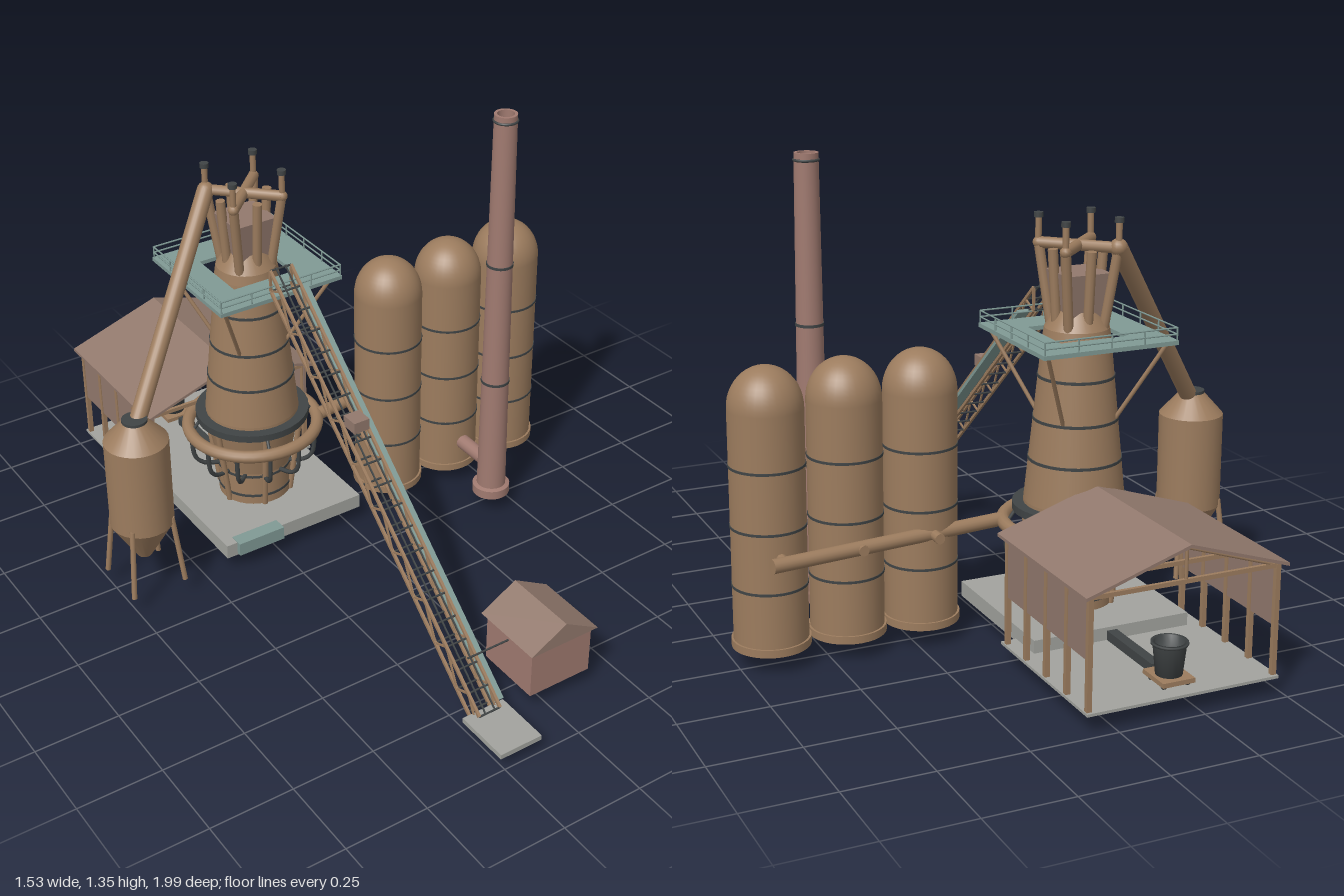
import * as THREE from 'three';

const mat = (color, side = THREE.FrontSide) =>
  new THREE.MeshStandardMaterial({ color, side, roughness: 0.85 });
const RUST = mat(0x9c7c5e), RUST2 = mat(0x9c7c5e, THREE.DoubleSide), DARK = mat(0x404445);
const TEAL = mat(0x809a95), STONE = mat(0xa2a39e), BRICK = mat(0xa07a70), SHED = mat(0x92796d, THREE.DoubleSide);
const V = (x, y, z) => new THREE.Vector3(x, y, z);
const FX = -0.197, FZ = -0.366, GROUND = 0.06; // furnace axis and ground level

export function createModel() {
  const root = new THREE.Group();
  let part = root;
  const group = (name, x = 0, y = 0, z = 0) => {
    part = new THREE.Group();
    part.name = name;
    part.position.set(x, y, z);
    root.add(part);
  };
  const add = (name, geo, m, x = 0, y = 0, z = 0) => {
    const mesh = new THREE.Mesh(geo, m);
    mesh.name = name;
    mesh.position.set(x, y, z);
    part.add(mesh);
    return mesh;
  };
  const box = (name, m, x0, x1, y0, y1, z0, z1) => add(name,
    new THREE.BoxGeometry(x1 - x0, y1 - y0, z1 - z0), m, (x0 + x1) / 2, (y0 + y1) / 2, (z0 + z1) / 2);
  const rod = (name, m, a, b, r, r2 = r, seg = 10) => {
    const mesh = add(name, new THREE.CylinderGeometry(r2, r, a.distanceTo(b), seg), m);
    mesh.position.copy(a).lerp(b, 0.5);
    mesh.quaternion.setFromUnitVectors(V(0, 1, 0), b.clone().sub(a).normalize());
    return mesh;
  };
  // square-section beam between two points lying in a plane of constant x
  const beam = (name, m, a, b, w, h) => {
    const mesh = add(name, new THREE.BoxGeometry(w, h, a.distanceTo(b)), m);
    mesh.position.copy(a).lerp(b, 0.5);
    mesh.lookAt(b);
    return mesh;
  };
  // lathe built from straight profile runs, so the edges stay sharp
  const turned = (name, m, pts, seg = 32) => pts.slice(1).forEach((p, i) => add(name,
    new THREE.LatheGeometry([pts[i], p].map(q => new THREE.Vector2(...q)), seg), m));
  const band = (r, y, x = 0, z = 0, h = 0.008) =>
    add('band', new THREE.CylinderGeometry(r, r, h, 32), DARK, x, y, z);
  const prism = (name, m, pts, z0, z1) => add(name, new THREE.ExtrudeGeometry(
    new THREE.Shape(pts.map(p => new THREE.Vector2(...p))), { depth: z1 - z0, bevelEnabled: false }), m, 0, 0, z0);
  const corners = [[-1, -1], [1, -1], [1, 1], [-1, 1]];

  // Foundations
  group('foundations');
  box('furnaceSlab', STONE, -0.435, 0.04, 0.055, 0.1, -0.6, -0.13);
  box('frontStep', TEAL, -0.4, -0.245, 0.06, 0.102, -0.16, -0.115);
  box('skipPitSlab', STONE, -0.265, -0.13, 0.048, 0.063, 0.83, 1);

  // Blast furnace
  group('furnace', FX, 0, FZ);
  turned('furnaceBody', RUST2, [[0, 0.1], [0.112, 0.1], [0.112, 0.21], [0.142, 0.36], [0.142, 0.4],
    [0.095, 0.86], [0.09, 0.89], [0.058, 0.94], [0, 0.94]]);
  for (const [y, r] of [[0.13, 0.114], [0.2, 0.114], [0.52, 0.132], [0.635, 0.12], [0.755, 0.108]]) band(r, y);
  band(0.173, 0.38, 0, 0, 0.022);
  const bustle = add('bustlePipe', new THREE.TorusGeometry(0.198, 0.019, 12, 48), RUST, 0, 0.335, 0);
  bustle.rotation.x = Math.PI / 2;
  for (let i = 0; i < 12; i++) {
    const a = (i + 0.5) * Math.PI / 6, c = Math.cos(a), s = Math.sin(a);
    const at = (r, y) => V(r * c, y, r * s);
    const path = new THREE.CatmullRomCurve3([at(0.195, 0.32), at(0.185, 0.24), at(0.16, 0.215), at(0.108, 0.205)]);
    add('tuyere', new THREE.TubeGeometry(path, 10, 0.007, 6), DARK);
    if (i % 2) rod('hearthColumn', RUST, at(0.112, 0.1), at(0.15, 0.37), 0.009);
    if (i % 3 === 0) rod('bustleHanger', DARK, at(0.19, 0.335), at(0.16, 0.38), 0.005);
  }

  // Charging platform with square opening, rails and braces
  group('topPlatform', FX, 0, FZ);
  const square = h => corners.map(([x, z]) => new THREE.Vector2(x * h, z * h));
  const deck = new THREE.Shape(square(0.202));
  deck.holes.push(new THREE.Path(square(0.1).reverse()));
  add('deck', new THREE.ExtrudeGeometry(deck, { depth: 0.012, bevelEnabled: false }), TEAL, 0, 0.875, 0)
    .rotation.x = Math.PI / 2;
  corners.forEach(([x, z], i) => {
    const [nx, nz] = corners[(i + 1) % 4], e = 0.198;
    for (const y of [0.892, 0.91]) rod('rail', TEAL, V(x * e, y, z * e), V(nx * e, y, nz * e), 0.0025, 0.0025, 6);
    for (let k = 0; k < 4; k++) {
      const t = k / 4, px = (x + (nx - x) * t) * e, pz = (z + (nz - z) * t) * e;
      rod('railPost', TEAL, V(px, 0.87, pz), V(px, 0.911, pz), 0.0025, 0.0025, 6);
    }
    rod('brace', RUST, V(x * 0.18, 0.866, z * 0.18), V(x * 0.08, 0.64, z * 0.08), 0.006);
  });

  // Furnace top: hopper, uptakes, bleeders and cross pipes
  group('furnaceTop', FX, 0, FZ);
  const hopper = add('hopper', new THREE.CylinderGeometry(0.095, 0.075, 0.125, 4).toNonIndexed(), SHED, 0, 0.982, 0);
  hopper.geometry.computeVertexNormals();
  hopper.rotation.y = Math.PI / 4;
  for (const [x, z] of corners) {
    const px = x * 0.08, pz = z * 0.08;
    rod('uptake', RUST, V(x * 0.052, 0.88, z * 0.052), V(px, 1.12, pz), 0.014);
    rod('crossPipe', RUST, V(px, 1.115, pz), V(0, 1.115, 0), 0.016);
    add('elbow', new THREE.SphereGeometry(0.016, 12, 8), RUST, px, 1.115, pz);
    rod('bleeder', RUST, V(px, 1.115, pz), V(px, 1.185, pz), 0.009);
    band(0.013, 1.191, px, pz, 0.014);
  }
  for (const [x, z] of [[1, 0], [-1, 0], [0, 1], [0, -1]])
    rod('sideUptake', RUST, V(x * 0.062, 0.89, z * 0.062), V(x * 0.077, 1.11, z * 0.077), 0.014);

  // Downcomer and dust catcher
  group('dustCatcher', -0.674, 0, -0.196);
  turned('vessel', RUST2, [[0, 0.138], [0.022, 0.138], [0.094, 0.26], [0.094, 0.54], [0.035, 0.605], [0, 0.61]], 24);
  for (const [x, z] of corners)
    rod('leg', RUST, V(x * 0.064, 0.28, z * 0.064), V(x * 0.084, GROUND, z * 0.084), 0.008);
  band(0.037, 0.604, 0, 0, 0.014);
  rod('downcomer', RUST, V(0.015, 0.595, -0.01), V(0.395, 1.115, -0.245), 0.025, 0.025, 20);
  add('downcomerElbow', new THREE.SphereGeometry(0.025, 16, 12), RUST, 0.395, 1.115, -0.245);

  // Hot stoves and hot blast main
  group('hotStoves');
  rod('hotBlastMain', RUST, V(-0.01, 0.335, -0.285), V(0.692, 0.335, -0.372), 0.02, 0.02, 16);
  for (const x of [0.21, 0.431, 0.652]) {
    const z = -0.227, pts = [new THREE.Vector2(0.103, GROUND)];
    for (let i = 0; i <= 12; i++) {
      const a = i / 12 * Math.PI / 2;
      pts.push(new THREE.Vector2(0.103 * Math.cos(a), 0.725 + 0.115 * Math.sin(a)));
    }
    add('stove', new THREE.LatheGeometry(pts, 32), RUST, x, 0, z);
    add('stoveBase', new THREE.CylinderGeometry(0.109, 0.109, 0.022, 32), RUST, x, GROUND + 0.009, z);
    for (const y of [0.235, 0.402, 0.571]) band(0.105, y, x, z, 0.007);
    rod('stoveBranch', RUST, V(x, 0.335, z), V(x, 0.335, -0.365), 0.015);
  }

  // Chimney with flue
  group('chimney', 0.432, 0, 0.028);
  const brick2 = mat(0xa07a70, THREE.DoubleSide);
  turned('stack', brick2, [[0, GROUND], [0.058, GROUND], [0.058, 0.088], [0.045, 0.092], [0.034, 1.35], [0.025, 1.35], [0.025, 1.2]]);
  add('flueMouth', new THREE.CylinderGeometry(0.025, 0.025, 0.01, 24), DARK, 0, 1.2, 0);
  for (const [y, r] of [[0.47, 0.044], [0.872, 0.0405], [1.33, 0.037]]) band(r, y);
  // the topmost collar is hollow over the mouth because it sits below the rim
  part.children.at(-1).geometry = new THREE.TorusGeometry(0.034, 0.004, 8, 32).rotateX(Math.PI / 2);
  rod('flue', BRICK, V(0, 0.155, 0), V(0, 0.155, -0.17), 0.023, 0.023, 16);

  // Skip incline: truss, sleepers, walkway and car
  group('skipIncline');
  const chord = (x, t, up = 0) => V(x, 0.008 + 0.887 * t + up, 0.86 - 1.03 * t);
  const BAYS = 20, DEPTH = 0.065, XL = -0.232, XR = -0.163;
  for (const x of [XL, XR]) {
    for (const up of [0, DEPTH]) beam('chord', RUST, chord(x, 0, up), chord(x, 1, up), 0.008, 0.009);
    for (let i = 0; i < BAYS; i++) {
      const a = i / BAYS, b = (i + 1) / BAYS;
      beam('lattice', RUST, chord(x, a, i % 2 ? DEPTH : 0), chord(x, b, i % 2 ? 0 : DEPTH), 0.005, 0.005);
    }
    beam('endPost', RUST, chord(x, 1), chord(x, 1, DEPTH), 0.007, 0.007);
  }
  for (let i = 0; i <= BAYS; i++)
    for (const up of [0, DEPTH])
      rod('sleeper', DARK, chord(XL, i / BAYS, up), chord(XR, i / BAYS, up), 0.003, 0.003, 6);
  for (const x of [-0.213, -0.182]) beam('rail', DARK, chord(x, 0, DEPTH + 0.005), chord(x, 1, DEPTH + 0.005), 0.004, 0.004);
  beam('walkway', TEAL, chord(-0.138, 0.04, 0.01), chord(-0.138, 0.985, 0.01), 0.035, 0.01);
  const car = chord(-0.197, 0.625, DEPTH);
  box('skipCar', SHED, car.x - 0.025, car.x + 0.025, car.y + 0.006, car.y + 0.04, car.z - 0.027, car.z + 0.027);

  // Winch house
  group('winchHouse');
  box('walls', BRICK, -0.06, 0.143, GROUND, 0.215, 0.66, 0.86);
  prism('roof', SHED, [[-0.072, 0.21], [0.156, 0.21], [0.042, 0.275]], 0.647, 0.873);
  rod('winchShaft', DARK, V(-0.197, 0.185, 0.755), V(-0.05, 0.185, 0.755), 0.003, 0.003, 6);

  // Cast house: open shed with trusses, half-height walls, runner and ladle
  group('castHouse');
  box('floor', STONE, -0.48, 0.085, 0.055, 0.063, -0.985, -0.49);
  prism('roof', SHED, [[-0.493, 0.368], [-0.197, 0.463], [0.097, 0.368], [0.097, 0.377], [-0.197, 0.472], [-0.493, 0.377]], -0.992, -0.487);
  for (const x of [-0.47, 0.075]) {
    box('sideWall', SHED, x - 0.004, x + 0.004, 0.2, 0.376, -0.975, -0.5);
    for (let i = 0; i < 5; i++) {
      const z = -0.97 + i * 0.115;
      box('post', RUST, x - 0.007, x + 0.007, GROUND, 0.372, z - 0.007, z + 0.007);
    }
  }
  for (let i = 0; i < 5; i++) {
    const z = -0.97 + i * 0.115;
    box('tieBeam', RUST, -0.47, 0.075, 0.362, 0.374, z - 0.005, z + 0.005);
    rod('kingPost', RUST, V(-0.197, 0.37, z), V(-0.197, 0.464, z), 0.005, 0.005, 6);
    for (const s of [-1, 1]) rod('rafter', RUST, V(-0.197 + s * 0.272, 0.368, z), V(-0.197, 0.458, z), 0.005, 0.005, 6);
  }
  box('runner', DARK, -0.212, -0.182, 0.063, 0.09, -0.84, -0.48);
  box('ladleCar', RUST, -0.245, -0.15, 0.075, 0.088, -0.955, -0.85);
  for (const x of [-0.232, -0.163]) for (const z of [-0.935, -0.87])
    rod('wheel', DARK, V(x - 0.004, 0.074, z), V(x + 0.004, 0.074, z), 0.011, 0.011, 12);
  add('ladle', new THREE.LatheGeometry([[0, 0.088], [0.036, 0.088], [0.045, 0.172], [0.05, 0.172], [0.05, 0.178],
    [0.04, 0.178], [0.036, 0.15], [0, 0.15]].map(p => new THREE.Vector2(...p)), 20),
    mat(0x404445, THREE.DoubleSide), -0.197, 0, -0.902);
  return root;
}
